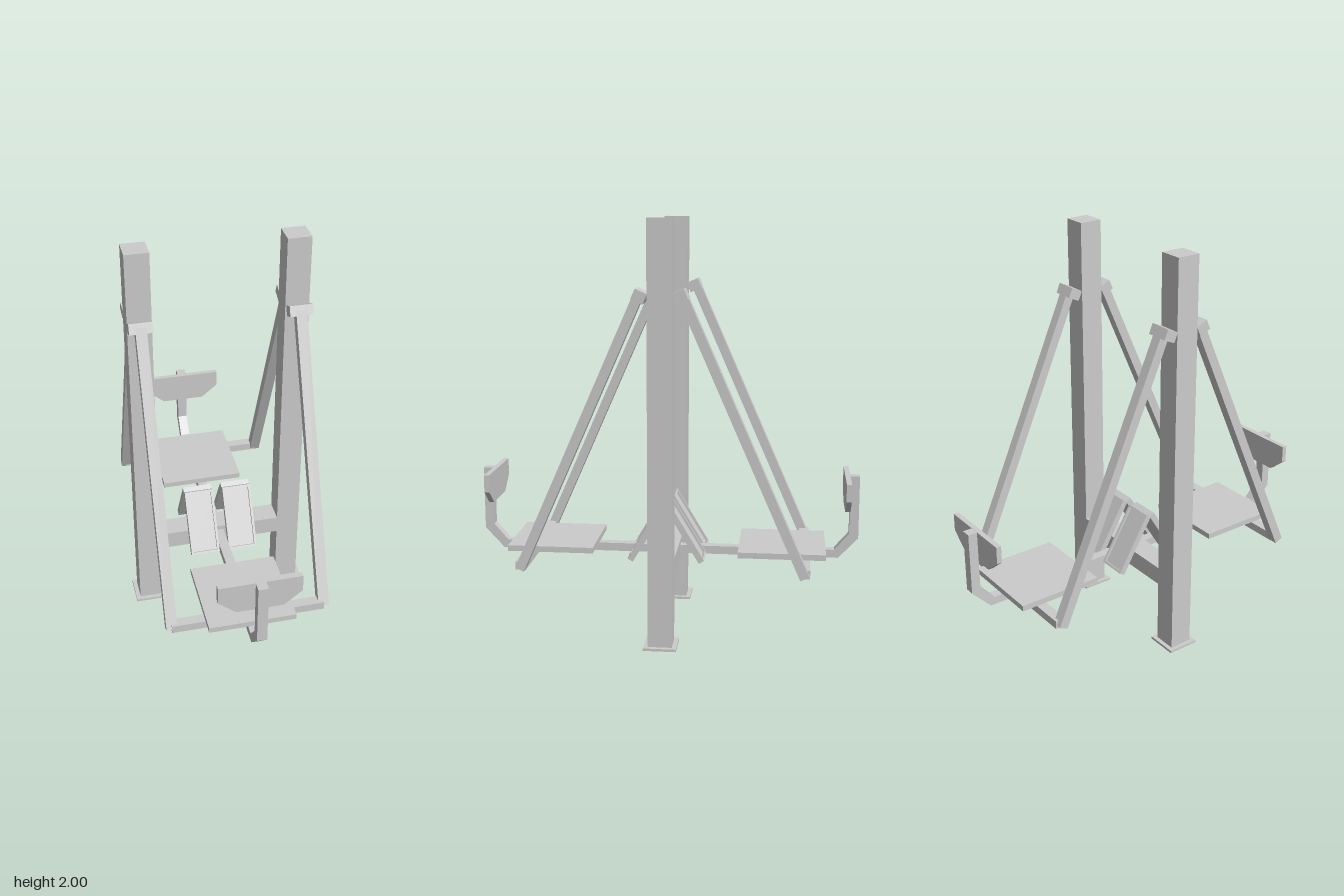
import * as THREE from 'three';

const material = new THREE.MeshStandardMaterial({ color: 0xcccccc, flatShading: true });

function add(parent, name, geometry, x = 0, y = 0, z = 0) {
  const mesh = new THREE.Mesh(geometry, material);
  mesh.name = name;
  mesh.position.set(x, y, z);
  parent.add(mesh);
  return mesh;
}
const box = (parent, name, w, h, d, x, y, z) =>
  add(parent, name, new THREE.BoxGeometry(w, h, d), x, y, z);

// Closed outline extruded to a thickness centred on zero
function slab(points, depth) {
  const shape = new THREE.Shape(points.map(([x, y]) => new THREE.Vector2(x, y)));
  return new THREE.ExtrudeGeometry(shape, { depth, bevelEnabled: false }).translate(0, 0, -depth / 2);
}

// Recessed tread leaning back against the ridge
function makeFootrest(x) {
  const footrest = new THREE.Group();
  footrest.name = 'footrest';
  const w = 0.145, len = 0.32, rim = 0.012, t = 0.03;
  box(footrest, 'footPlate', w, len, 0.018, 0, 0, -0.006);
  for (const s of [-1, 1]) {
    box(footrest, 'footRimSide', rim, len, t, s * (w - rim) / 2, 0, 0);
    box(footrest, 'footRimEnd', w - 2 * rim, rim, t, 0, s * (len - rim) / 2, 0);
  }
  footrest.position.set(x, 0.49, 0.092);
  footrest.rotation.x = -Math.atan2(0.165, 0.275);
  return footrest;
}

// One seat station, facing the middle of the frame
function makeStation() {
  const station = new THREE.Group();
  station.name = 'seatStation';
  box(station, 'seat', 0.42, 0.028, 0.42, 0, 0.407, 0.561);
  box(station, 'seatCrossbar', 0.74, 0.04, 0.05, 0, 0.373, 0.67);

  // Rail that bends up into the back support
  const rail = add(station, 'railAndBackSupport', slab([
    [0, 0.353], [0.835, 0.353], [0.93, 0.455], [0.93, 0.765],
    [0.885, 0.765], [0.885, 0.475], [0.815, 0.393], [0, 0.393]], 0.048));
  rail.rotation.y = -Math.PI / 2;

  // Backrest with cut lower corners
  add(station, 'backrest', slab([
    [-0.195, 0.765], [-0.195, 0.68], [-0.11, 0.61],
    [0.11, 0.61], [0.195, 0.68], [0.195, 0.765]], 0.025), 0, 0, 0.872);

  // Leaning hanger bars with a cap on each post
  const top = new THREE.Vector2(0.098, 1.66), foot = new THREE.Vector2(0.67, 0.36);
  const tilt = -Math.atan2(foot.x - top.x, top.y - foot.y);
  for (const s of [-1, 1]) {
    const bar = box(station, 'hangerBar', 0.052, top.distanceTo(foot), 0.045,
      s * 0.37, (top.y + foot.y) / 2, (top.x + foot.x) / 2);
    const cap = box(station, 'hangerCap', 0.11, 0.05, 0.06, s * 0.37, 1.655, 0.092);
    bar.rotation.x = cap.rotation.x = tilt;
    station.add(makeFootrest(s * 0.097));
  }
  return station;
}

export function createModel() {
  const model = new THREE.Group();
  model.name = 'twoSeatExerciseFrame';

  // Posts on base plates, tied by a low beam
  for (const s of [-1, 1]) {
    box(model, 'post', 0.114, 2, 0.114, s * 0.367, 1, 0);
    box(model, 'basePlate', 0.157, 0.012, 0.157, s * 0.367, 0.006, 0);
  }
  box(model, 'crossBeam', 0.63, 0.09, 0.114, 0, 0.37, 0);

  // Two identical stations, back to back
  for (const turn of [0, Math.PI]) {
    const station = makeStation();
    station.rotation.y = turn;
    model.add(station);
  }

  model.rotation.y = Math.PI / 6;
  const root = new THREE.Group();
  root.name = 'exerciseFrame';
  root.add(model);
  return root;
}
